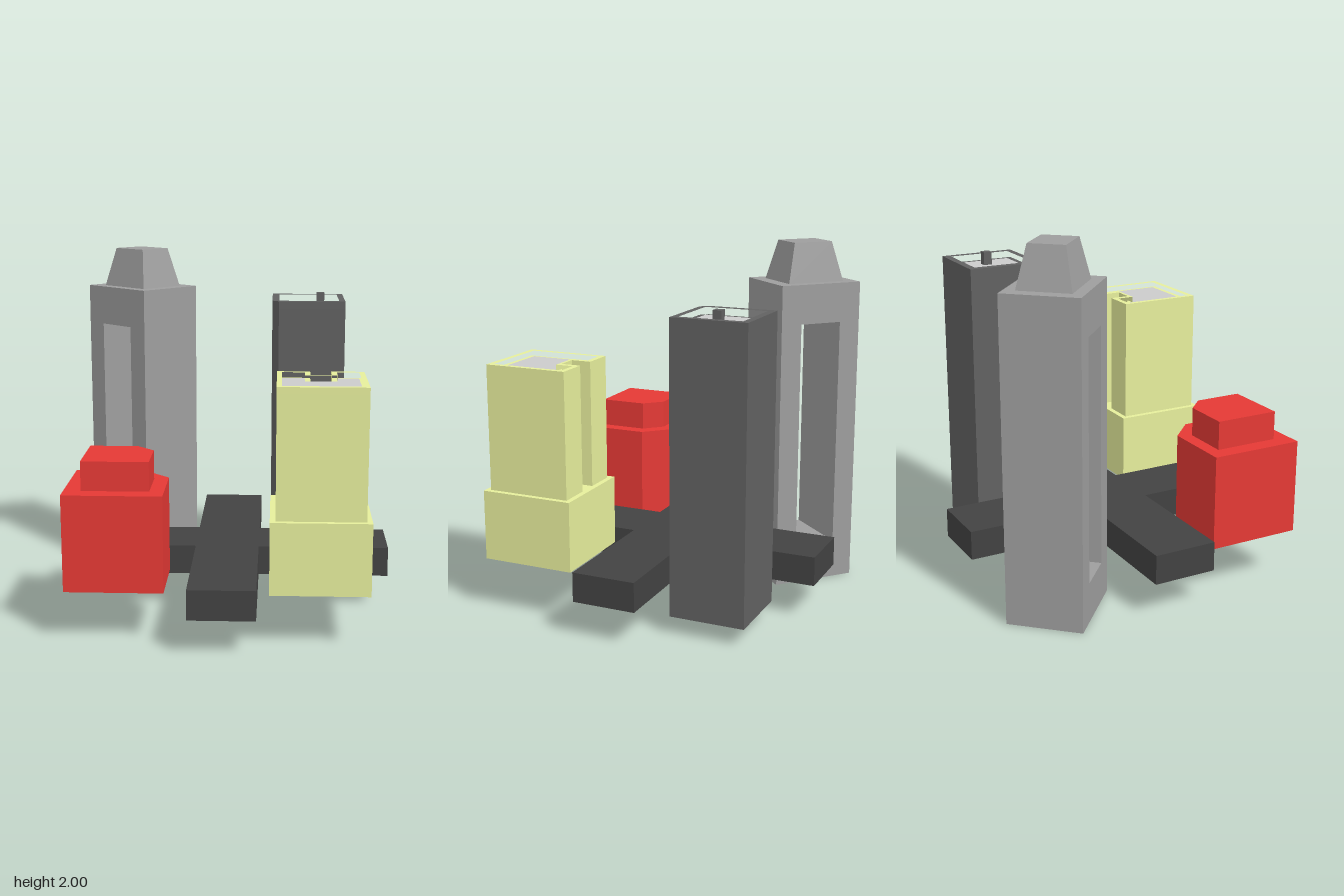
import * as THREE from 'three';

const material = (color) => new THREE.MeshStandardMaterial({ color, flatShading: true });
const paint = {
  road: material(0x424242),
  stone: material(0x9e9e9e),
  dark: material(0x616161),
  lime: material(0xe6ee9c),
  red: material(0xe53935),
  roof: material(0xcccccc),
};

// Outline from [x, z] pairs; z is flipped because the shape is later laid flat
const outline = (pts) => new THREE.Shape(pts.map(([x, z]) => new THREE.Vector2(x, -z)));

const rect = (x0, x1, z0, z1) => [[x0, z0], [x1, z0], [x1, z1], [x0, z1]];

function addMesh(group, name, geometry, mat) {
  const mesh = new THREE.Mesh(geometry, mat);
  mesh.name = name;
  group.add(mesh);
  return mesh;
}

// Upright prism over a plan outline, optionally hollowed by an inner outline
function prism(group, name, pts, y0, y1, mat, inner) {
  const shape = outline(pts);
  if (inner) shape.holes.push(outline(inner));
  const geo = new THREE.ExtrudeGeometry(shape, { depth: y1 - y0, bevelEnabled: false });
  geo.rotateX(-Math.PI / 2).translate(0, y0, 0);
  return addMesh(group, name, geo, mat);
}

// Building block with a parapet around a sunken grey roof
function parapetBlock(group, name, pts, inner, y0, y1, sink, mat) {
  const floor = y1 - sink;
  prism(group, name + 'Body', pts, y0, floor, mat);
  prism(group, name + 'Parapet', pts, floor, y1, mat, inner);
  const roof = new THREE.ShapeGeometry(outline(inner));
  roof.rotateX(-Math.PI / 2).translate(0, floor + 0.003, 0);
  addMesh(group, name + 'Roof', roof, paint.roof);
}

function named(name, parent) {
  const g = new THREE.Group();
  g.name = name;
  parent.add(g);
  return g;
}

export function createModel() {
  const model = new THREE.Group();
  model.name = 'cityBlock';

  // Crossing roads
  const w = 0.18, l = 0.915;
  prism(model, 'crossroads', [
    [-w, -l], [w, -l], [w, -w], [l, -w], [l, w], [w, w],
    [w, l], [-w, l], [-w, w], [-l, w], [-l, -w], [-w, -w],
  ], 0.2, 0.365, paint.road);

  // Tall turned tower with a slot right through it
  const tower = named('slottedTower', model);
  const W = 0.5, D = 0.418, H = 1.775;
  const face = new THREE.Shape();
  face.moveTo(-W / 2, 0).lineTo(W / 2, 0).lineTo(W / 2, H).lineTo(-W / 2, H).closePath();
  const slot = new THREE.Path();
  slot.moveTo(-0.125, 0.225).lineTo(-0.125, 1.55).lineTo(0.125, 1.55).lineTo(0.125, 0.225).closePath();
  face.holes.push(slot);
  const shaft = new THREE.ExtrudeGeometry(face, { depth: D, bevelEnabled: false });
  addMesh(tower, 'towerShaft', shaft.translate(0, 0, -D / 2), paint.stone);

  // Tapered cap
  const cap = new THREE.BoxGeometry(0.35, 2 - H, 0.29);
  const p = cap.attributes.position;
  for (let i = 0; i < p.count; i++) {
    if (p.getY(i) > 0) p.setXYZ(i, p.getX(i) * 0.685, p.getY(i), p.getZ(i) * 0.685);
  }
  cap.computeVertexNormals();
  addMesh(tower, 'towerCap', cap.translate(0, (H + 2) / 2, 0), paint.stone);
  tower.position.set(-0.547, 0, -0.573);
  tower.rotation.y = -0.743;

  // Dark tower with one clipped corner and a small roof hut
  const darkTower = named('darkTower', model);
  parapetBlock(darkTower, 'darkTower', [
    [0.245, -0.695], [0.67, -0.695], [0.67, -0.27], [0.283, -0.27], [0.245, -0.308],
  ], rect(0.285, 0.635, -0.655, -0.305), 0.1, 1.715, 0.045, paint.dark);
  prism(darkTower, 'roofHut', rect(0.507, 0.553, -0.505, -0.457), 1.67, 1.747, paint.dark);

  // Stepped block with a notch down its back
  const notched = named('notchedBlock', model);
  prism(notched, 'notchedBase', rect(0.245, 0.777, 0.27, 0.803), 0.3, 0.695, paint.lime);
  const notch = (x0, x1, z0, z1, n0, n1, nz) => [
    [x0, z0], [n0, z0], [n0, nz], [n1, nz], [n1, z0], [x1, z0], [x1, z1], [x0, z1],
  ];
  parapetBlock(notched, 'notchedUpper',
    notch(0.275, 0.747, 0.3, 0.775, 0.455, 0.568, 0.413),
    notch(0.303, 0.718, 0.33, 0.743, 0.425, 0.598, 0.43),
    0.695, 1.4, 0.035, paint.lime);

  // Low stepped block with a clipped inner corner
  const low = named('lowBlock', model);
  const clipped = (x0, x1, z0, z1, c) => [[x0, z0], [x1 - c, z0], [x1, z0 + c], [x1, z1], [x0, z1]];
  prism(low, 'lowBase', clipped(-0.845, -0.312, 0.222, 0.753, 0.142), 0.285, 0.815, paint.red);
  prism(low, 'lowUpper', clipped(-0.752, -0.39, 0.297, 0.66, 0.097), 0.815, 0.975, paint.red);

  return model;
}
